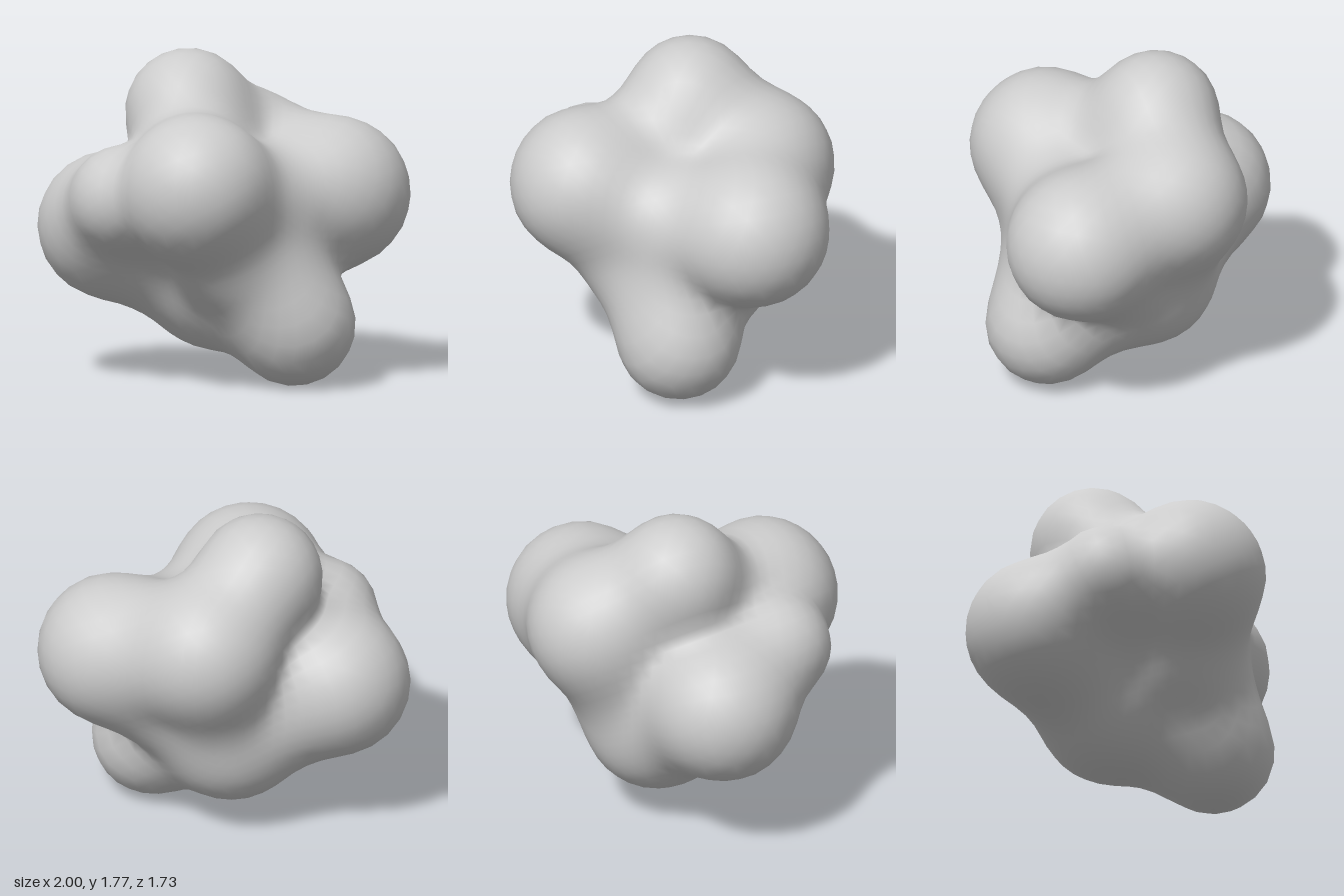
import * as THREE from 'three';
import { mergeVertices } from 'three/addons/utils/BufferGeometryUtils.js';

// Lobes of the boulder: x, y, z, radius
const lobes = {
  core: [0, 0.88, -0.05, 0.44],
  collar: [-0.16, 1.18, 0.14, 0.32],
  chest: [0.2, 0.95, 0.12, 0.34],
  waist: [0.06, 0.73, 0.24, 0.32],
  front: [-0.13, 1.1, 0.45, 0.415],
  top: [-0.19, 1.435, -0.19, 0.34],
  left: [0.59, 1.0, -0.19, 0.41],
  foot: [0.38, 0.335, 0.15, 0.333],
  right: [-0.6, 0.82, -0.2, 0.4],
  shoulder: [-0.53, 1.02, 0.23, 0.29],
  back: [0.1, 1.12, -0.46, 0.405],
  belly: [-0.04, 0.54, -0.2, 0.39],
};

// Pairs of lobes joined by a filled bridge
const pairs = [
  ['core', 'top'], ['core', 'shoulder'], ['front', 'collar'], ['collar', 'top'],
  ['front', 'chest'], ['chest', 'left'], ['front', 'waist'], ['waist', 'foot'],
  ['waist', 'belly'], ['chest', 'foot'], ['back', 'top'], ['left', 'back'],
  ['left', 'belly'], ['back', 'belly'], ['right', 'belly'], ['right', 'core'],
  ['right', 'shoulder'], ['foot', 'belly'],
];

// Blend width; shared lobes are thinned so the blend does not swell them
const BLEND = 0.035;
const links = pairs.map((pair) => pair.map((name) => {
  const shared = pairs.filter((other) => other.includes(name)).length;
  const [x, y, z, r] = lobes[name];
  return [x, y, z, r - BLEND * Math.log(shared)];
}));

// Distance to a tapered capsule between two lobes
function capsule(p, [a, b]) {
  const d = [b[0] - a[0], b[1] - a[1], b[2] - a[2]];
  const q = [p.x - a[0], p.y - a[1], p.z - a[2]];
  const len2 = d[0] ** 2 + d[1] ** 2 + d[2] ** 2;
  const t = THREE.MathUtils.clamp((q[0] * d[0] + q[1] * d[1] + q[2] * d[2]) / len2, 0, 1);
  return Math.hypot(q[0] - d[0] * t, q[1] - d[1] * t, q[2] - d[2] * t) - (a[3] + (b[3] - a[3]) * t);
}

// Smooth blend of all bridges
function field(p) {
  let sum = 0;
  for (const link of links) sum += Math.exp(-capsule(p, link) / BLEND);
  return -BLEND * Math.log(sum);
}

export function createModel() {
  const group = new THREE.Group();
  const stone = new THREE.MeshStandardMaterial({ color: 0xcccccc });
  stone.name = 'stoneGrey';

  // Sphere grid pulled in to the blended surface
  let geo = new THREE.IcosahedronGeometry(1, 11);
  geo.deleteAttribute('uv');
  geo.deleteAttribute('normal');
  geo = mergeVertices(geo, 1e-4);
  const pos = geo.attributes.position;
  const centre = new THREE.Vector3(0, 0.9, -0.02);
  const dir = new THREE.Vector3();
  const p = new THREE.Vector3();
  for (let i = 0; i < pos.count; i++) {
    dir.fromBufferAttribute(pos, i).normalize();
    let r = 1.6;
    for (let n = 0; n < 80; n++) {
      const d = field(p.copy(centre).addScaledVector(dir, r));
      if (d < 0.0005) break;
      r -= d * 0.9;
    }
    pos.setXYZ(i, p.x, p.y, p.z);
  }
  geo.computeVertexNormals();

  const boulder = new THREE.Mesh(geo, stone);
  boulder.name = 'boulder';
  group.add(boulder);
  return group;
}
